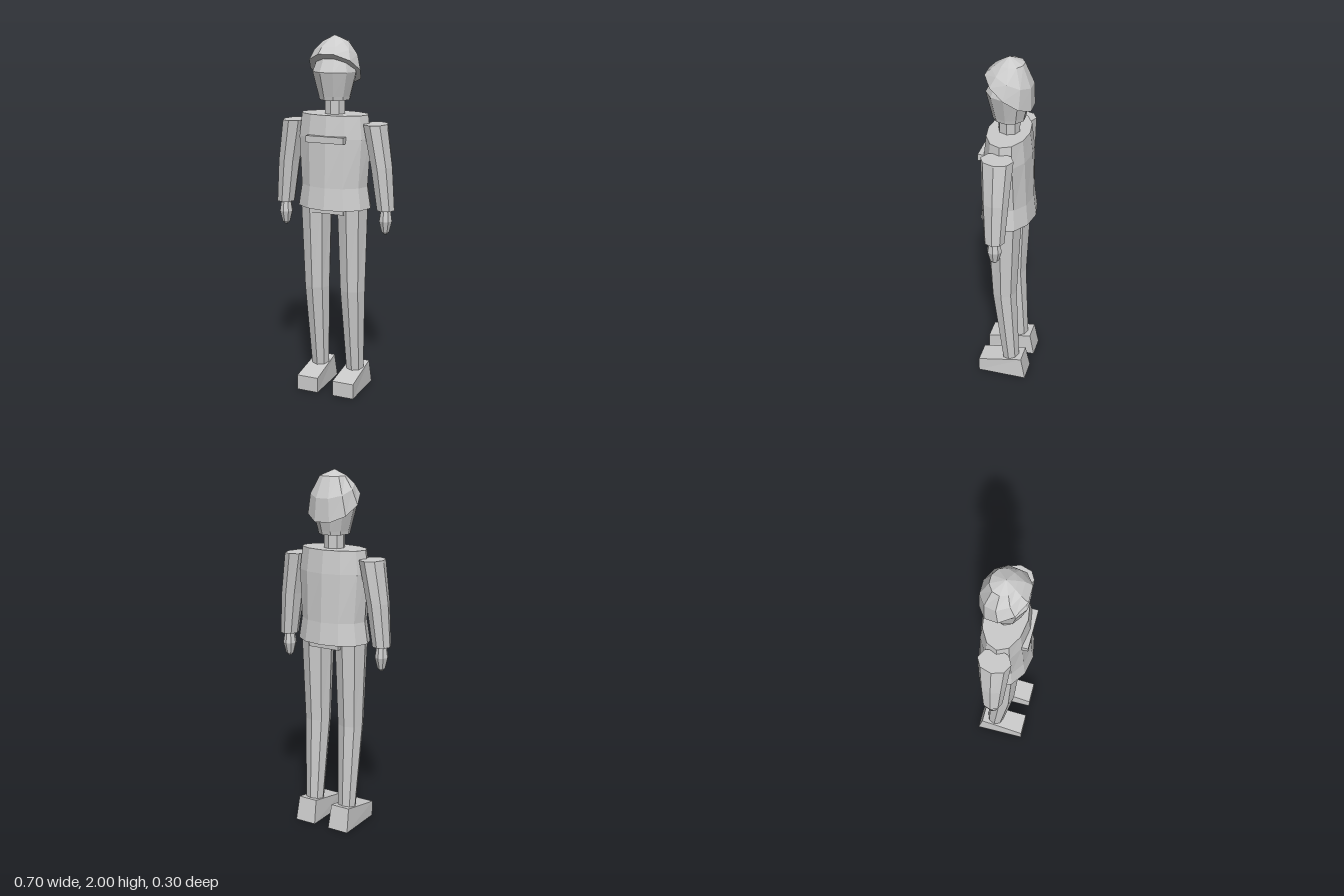
import * as THREE from 'three';

// Low-poly body through elliptical rings, listed bottom to top.
// Each ring is [y, centreX, centreZ, radiusX, radiusZ, tilt], where tilt raises y along z.
function loft(rings, sides) {
  const point = ([y, cx, cz, rx, rz, tilt = 0], i) => {
    const a = (i % sides) / sides * Math.PI * 2;
    const z = cz + Math.sin(a) * rz;
    return [cx + Math.cos(a) * rx, y + tilt * z, z];
  };
  const centre = ([y, cx, cz, , , tilt = 0]) => [cx, y + tilt * cz, cz];
  const out = [];
  const last = rings[rings.length - 1];
  for (let i = 0; i < sides; i++) {
    for (let r = 0; r < rings.length - 1; r++) {
      const a = point(rings[r], i), b = point(rings[r], i + 1);
      const c = point(rings[r + 1], i), d = point(rings[r + 1], i + 1);
      out.push(...a, ...c, ...b, ...b, ...c, ...d);
    }
    out.push(...centre(rings[0]), ...point(rings[0], i), ...point(rings[0], i + 1));
    out.push(...centre(last), ...point(last, i + 1), ...point(last, i));
  }
  const geometry = new THREE.BufferGeometry();
  geometry.setAttribute('position', new THREE.Float32BufferAttribute(out, 3));
  geometry.computeVertexNormals();
  return geometry;
}

// Wedge shoe: a box with a sloping top and a leaning heel
function shoeGeometry() {
  const box = new THREE.BoxGeometry(0.126, 1, 0.283).toNonIndexed();
  const p = box.attributes.position;
  for (let i = 0; i < p.count; i++) {
    const top = p.getY(i) > 0, back = p.getZ(i) < 0;
    p.setY(i, top ? (back ? 0.135 : 0.087) : 0);
    if (top && back) {
      p.setZ(i, -0.115);
      p.setX(i, p.getX(i) * 0.9);
    }
  }
  box.computeVertexNormals();
  return box;
}

export function createModel() {
  const model = new THREE.Group();
  const grey = new THREE.MeshStandardMaterial({ color: 0xcccccc });
  grey.name = 'plain grey';

  const add = (name, geometry, x = 0, y = 0, z = 0) => {
    const mesh = new THREE.Mesh(geometry, grey);
    mesh.name = name;
    mesh.position.set(x, y, z);
    model.add(mesh);
  };

  // Jacket
  add('torso', loft([
    [1.075, 0, 0, 0.212, 0.152],
    [1.195, 0, 0, 0.193, 0.138],
    [1.46, 0, 0, 0.21, 0.128],
    [1.585, 0, 0, 0.195, 0.113],
  ], 12));
  add('chestPlate', new THREE.BoxGeometry(0.22, 0.036, 0.04), 0, 1.458, 0.122);
  add('pelvis', new THREE.BoxGeometry(0.185, 0.06, 0.21), 0, 1.075, -0.005);

  // Head
  add('neck', loft([[1.56, 0, 0, 0.058, 0.058], [1.68, 0, 0, 0.058, 0.058]], 8));
  add('head', loft([
    [1.66, 0, 0, 0.084, 0.086],
    [1.68, 0, 0, 0.088, 0.09],
    [1.81, 0, 0, 0.122, 0.121],
    [1.89, 0, -0.005, 0.095, 0.085],
  ], 10));

  // Cap, sloping down towards the back
  add('cap', loft([
    [1.822, 0, -0.004, 0.146, 0.128, 0.71],
    [1.908, 0, -0.02, 0.122, 0.107, 0.42],
    [1.968, 0, -0.014, 0.073, 0.066],
    [2.0, 0, 0, 0.001, 0.001],
  ], 10));

  // Limbs on both sides
  for (const [side, s] of [['left', 1], ['right', -1]]) {
    add(side + 'Arm', loft([
      [1.075, s * 0.3, 0, 0.05, 0.056],
      [1.31, s * 0.275, 0, 0.06, 0.072],
      [1.54, s * 0.237, 0, 0.066, 0.087],
    ], 8));
    add(side + 'Hand', loft([
      [0.938, s * 0.3, 0, 0.008, 0.008],
      [0.955, s * 0.3, 0, 0.022, 0.025],
      [1.015, s * 0.3, 0, 0.037, 0.041],
      [1.08, s * 0.3, 0, 0.027, 0.03],
    ], 8));
    add(side + 'Leg', loft([
      [0.11, s * 0.108, -0.04, 0.053, 0.05],
      [0.6, s * 0.108, 0, 0.074, 0.073],
      [1.09, s * 0.108, 0.002, 0.088, 0.099],
    ], 8));
    add(side + 'Shoe', shoeGeometry(), s * 0.109);
  }

  return model;
}
